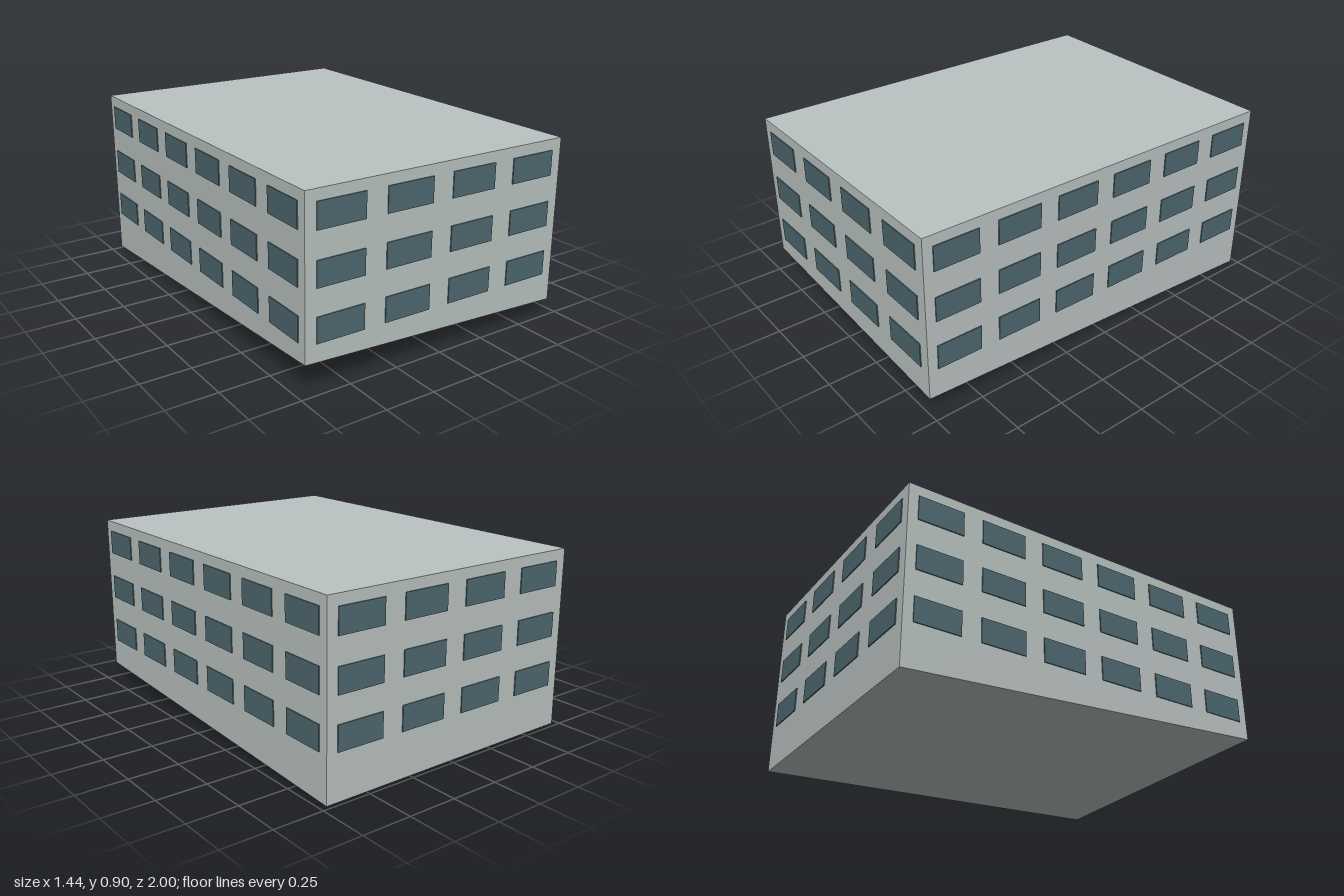
import * as THREE from 'three';

const W = 1.413, D = 1.973, TOP = 0.903, PROUD = 0.005;

// Block with a flat roof and a base that follows sloping ground
function blockGeometry() {
  const x = W / 2, z = D / 2;
  // corners in order: front left, front right, back right, back left (as seen from the front)
  const plan = [[-x, z, 0.143], [x, z, 0.082], [x, -z, 0], [-x, -z, 0.012]];
  const low = plan.map(([px, pz, y]) => [px, y, pz]);
  const high = plan.map(([px, pz]) => [px, TOP, pz]);
  const quads = [[high[0], high[1], high[2], high[3]], [low[0], low[3], low[2], low[1]]];
  for (let i = 0; i < 4; i++) {
    const j = (i + 1) % 4;
    quads.push([low[i], low[j], high[j], high[i]]);
  }
  const points = quads.flatMap(([a, b, c, d]) => [a, b, c, a, c, d]).flat();
  const geometry = new THREE.BufferGeometry();
  geometry.setAttribute('position', new THREE.Float32BufferAttribute(points, 3));
  geometry.computeVertexNormals();
  return geometry;
}

export function createModel() {
  const wall = new THREE.MeshStandardMaterial({ color: 0xbac3c1 });
  wall.name = 'pale grey wall';
  const glass = new THREE.MeshStandardMaterial({ color: 0x4d6870 });
  glass.name = 'blue grey glass';

  const model = new THREE.Group();
  model.name = 'building';
  const block = new THREE.Mesh(blockGeometry(), wall);
  block.name = 'walls';
  model.add(block);

  // Rows of thin window panes on each side
  const sides = [
    ['front', 0, W, D, 4, 0.243], ['right', Math.PI / 2, D, W, 6, 0.23],
    ['back', Math.PI, W, D, 4, 0.243], ['left', -Math.PI / 2, D, W, 6, 0.23],
  ];
  for (const [name, angle, length, depth, count, width] of sides) {
    const side = new THREE.Group();
    side.name = name + 'Windows';
    side.rotation.y = angle;
    const pane = new THREE.BoxGeometry(width, 0.122, 0.008);
    for (let row = 0; row < 3; row++) {
      for (let i = 0; i < count; i++) {
        const mesh = new THREE.Mesh(pane, glass);
        mesh.name = 'window';
        mesh.position.set(((i + 0.5) / count - 0.5) * length, 0.289 + row * 0.25, depth / 2 + PROUD - 0.004);
        side.add(mesh);
      }
    }
    model.add(side);
  }

  // The block stands slightly turned
  model.rotation.y = -0.0106;
  const root = new THREE.Group();
  root.name = 'model';
  root.add(model);
  return root;
}
